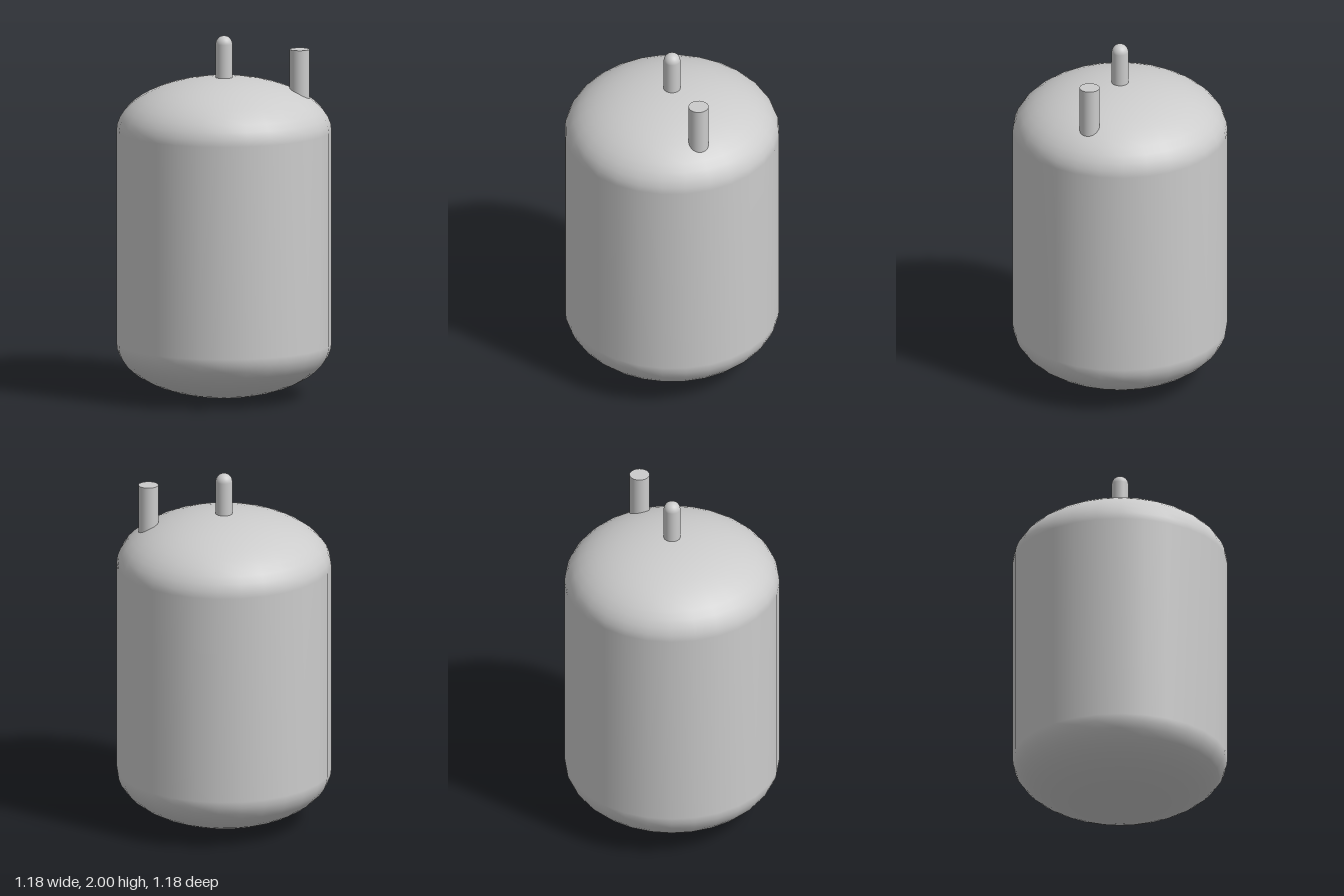
import * as THREE from 'three';

const RADIUS = 0.59, DOME = 0.295, HEIGHT = 1.77;
const material = new THREE.MeshStandardMaterial({ color: 0xcccccc });

function add(group, name, geometry, x = 0, y = 0) {
  const mesh = new THREE.Mesh(geometry, material);
  mesh.name = name;
  mesh.position.set(x, y, 0);
  group.add(mesh);
}

// Quarter-ellipse profile from the pole to the rim, or the reverse
function quarterEllipse(r, h, y, steps, fromPole) {
  return Array.from({ length: steps + 1 }, (_, i) => {
    const a = (fromPole ? i : steps - i) / steps * Math.PI / 2;
    return new THREE.Vector2(r * Math.sin(a), y + h * Math.cos(a));
  });
}

export function createModel() {
  const group = new THREE.Group();
  group.name = 'tank';

  // Tank body: straight wall between two elliptical domes
  add(group, 'tankBody', new THREE.LatheGeometry([
    ...quarterEllipse(RADIUS, -DOME, DOME, 12, true),
    ...quarterEllipse(RADIUS, DOME, HEIGHT - DOME, 12, false),
  ], 28));

  // Round-tipped stem at the centre of the upper dome
  const stemR = 0.046;
  add(group, 'centreStem', new THREE.LatheGeometry([
    new THREE.Vector2(stemR, 1.7),
    ...quarterEllipse(stemR, stemR, 2 - stemR, 8, false),
  ], 28));

  // Flat-topped pipe on the left shoulder, sunk into the dome
  const pipeBottom = 1.6, pipeTop = 1.925;
  add(group, 'sidePipe',
    new THREE.CylinderGeometry(0.055, 0.055, pipeTop - pipeBottom, 28),
    0.415, (pipeBottom + pipeTop) / 2);

  return group;
}
